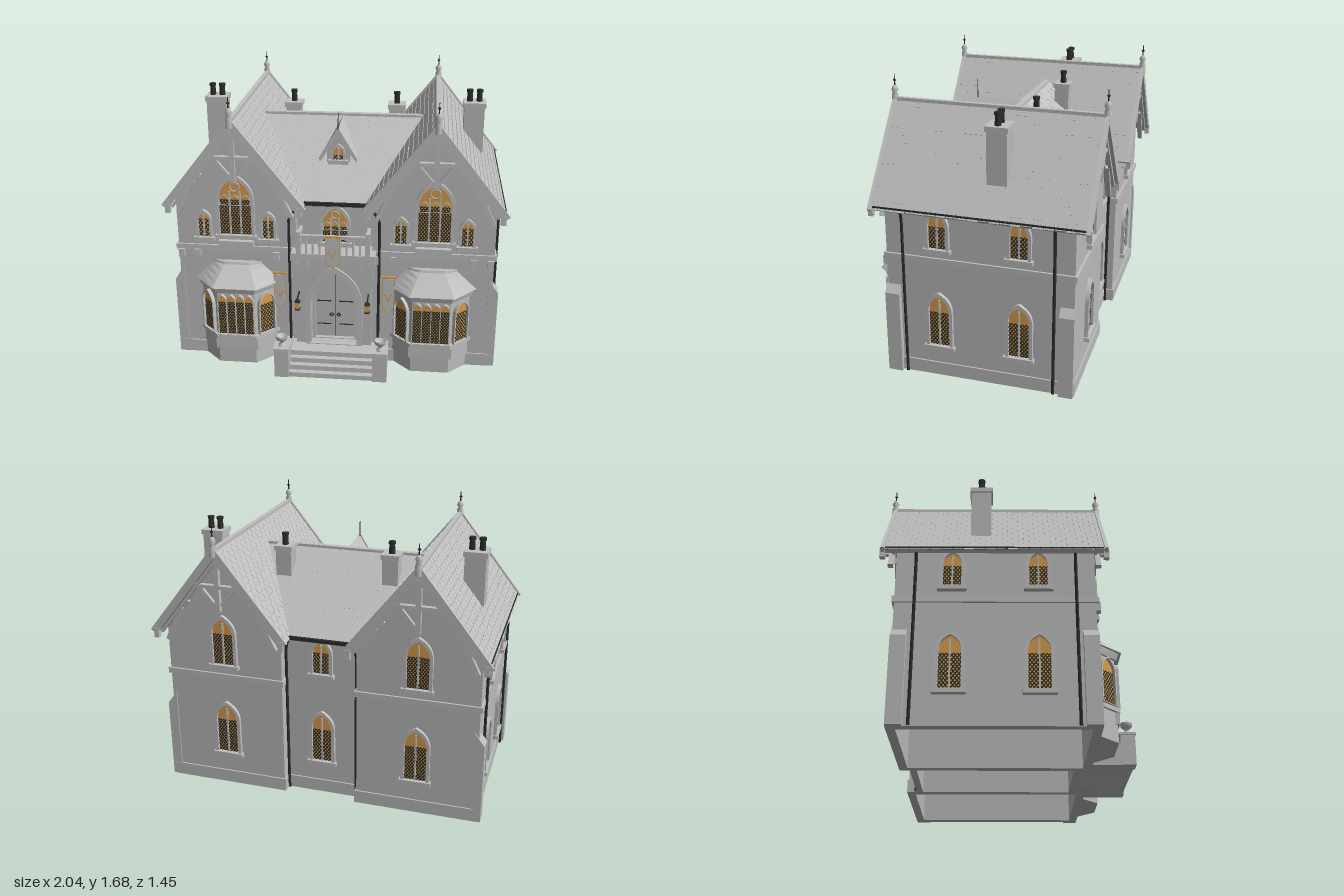
import * as THREE from 'three';
import { mergeGeometries } from 'three/addons/utils/BufferGeometryUtils.js';
import { ConvexGeometry } from 'three/addons/geometries/ConvexGeometry.js';

const mat = (name, color) => Object.assign(new THREE.MeshStandardMaterial({ color }), { name });
const stone = mat('stone', 0xbcbcbc), trim = mat('trim', 0xc0c0c0), slate = mat('slate', 0xc0c0c0);
const iron = mat('iron', 0x2b2e2b), glass = mat('amber glass', 0xd89c4c);

let seed = 7;
const rnd = () => (seed = (seed * 16807) % 2147483647) / 2147483647;

function add(parent, name, geo, m, x = 0, y = 0, z = 0) {
  const mesh = new THREE.Mesh(geo, m);
  mesh.name = name;
  mesh.position.set(x, y, z);
  parent.add(mesh);
  return mesh;
}
// box given by its extents
const block = (p, name, m, x0, x1, y0, y1, z0, z1) =>
  add(p, name, new THREE.BoxGeometry(x1 - x0, y1 - y0, z1 - z0), m, (x0 + x1) / 2, (y0 + y1) / 2, (z0 + z1) / 2);
// beam between two points in an upright plane; no depth gives a flat strip
function beam(x0, y0, x1, y1, w, d, z = 0) {
  const l = Math.hypot(x1 - x0, y1 - y0);
  const g = d ? new THREE.BoxGeometry(l, w, d) : new THREE.PlaneGeometry(l, w);
  return g.rotateZ(Math.atan2(y1 - y0, x1 - x0)).translate((x0 + x1) / 2, (y0 + y1) / 2, z);
}
const extrude = (s, depth) => new THREE.ExtrudeGeometry(s, { depth, bevelEnabled: false, curveSegments: 8 });
const poly = pts => new THREE.Shape(pts.map(p => new THREE.Vector2(...p)));
const spring = (w, h) => h - 0.75 * w;
function arch(w, h, y = 0, T = THREE.Shape) {
  const s = y + spring(w, h), c = s + 0.5 * w, r = w / 2;
  const p = new T();
  p.moveTo(-r, y);
  p.lineTo(r, y);
  p.lineTo(r, s);
  p.quadraticCurveTo(r, c, 0, y + h);
  p.quadraticCurveTo(-r, c, -r, s);
  p.lineTo(-r, y);
  return p;
}
function archRing(w, h, t, depth) {
  const s = arch(w + 2 * t, h + t * 1.6, -t * 0.4);
  s.holes.push(arch(w, h, 0, THREE.Path));
  return extrude(s, depth);
}
// hollow rectangular course of masonry centred on x, z
function ring(p, name, m, w, d, t, y0, y1, x, z) {
  const r = (a, b) => [[-a, -b], [a, -b], [a, b], [-a, b]];
  const s = poly(r(w / 2, d / 2));
  s.holes.push(poly(r(w / 2 - t, d / 2 - t)));
  return add(p, name, extrude(s, y1 - y0).rotateX(-Math.PI / 2), m, x, y0, z);
}

// leaded arched window facing +z, sill at the origin
function windowUnit(p, w, h, lights, x, y, z, turn = 0, frame = 0.02) {
  const g = new THREE.Group();
  g.name = 'window';
  g.position.set(x, y, z);
  g.rotation.y = turn;
  p.add(g);
  add(g, 'windowFrame', archRing(w, h, frame, 0.022), trim);
  add(g, 'windowGlass', new THREE.ShapeGeometry(arch(w, h), 8), glass, 0, 0, 0.004);
  const nx = Math.max(2, Math.round(w / 0.02)), c = w / nx, ny = Math.floor((spring(w, h) + 0.01) / (c * 1.3));
  const bars = [];
  for (let i = 0; i < nx; i++) for (let j = 0; j < ny; j++) {
    const a = -w / 2 + i * c, b = j * c * 1.3;
    bars.push(beam(a, b, a + c, b + c * 1.3, 0.0065, 0), beam(a, b + c * 1.3, a + c, b, 0.0065, 0));
  }
  add(g, 'windowLeading', mergeGeometries(bars), iron, 0, 0, 0.007);
  for (let i = 1; i < lights; i++) {
    const mx = -w / 2 + (w * i) / lights;
    block(g, 'mullion', trim, mx - 0.005, mx + 0.005, 0, spring(w, h) + (lights === 2 ? 0.55 * w : 0.3 * w), 0, 0.014);
  }
  if (lights > 2) {
    add(g, 'tracery', new THREE.TorusGeometry(w * 0.15, 0.005, 6, 16), trim, 0, h - w * 0.3, 0.01);
    for (let i = 0; i < lights; i++)
      add(g, 'lightHead', archRing(w / lights - 0.012, w * 0.32, 0.005, 0.006), trim, -w / 2 + w * (i + 0.5) / lights, spring(w, h) - 0.03, 0.006);
  }
  if (frame > 0.01) block(g, 'sill', trim, -w / 2 - 0.03, w / 2 + 0.03, -0.025, 0, 0, 0.032);
  return g;
}

// slated slope falling towards +x from a ridge along z; half(u) gives half the length at u down the slope
function slope(p, run, rise, half, courses, slabHalf) {
  const len = Math.hypot(run, rise), tilt = -Math.atan2(rise, run), step = len / courses, parts = [];
  for (let i = 0; i < courses; i++) {
    const h = half((i + 0.5) * step / len);
    for (let v = -h - (i % 2) * 0.03; v < h; v += 0.06) {
      const a = Math.max(v, -h), b = Math.min(v + 0.057, h);
      if (b - a < 0.008) continue;
      parts.push(new THREE.BoxGeometry(step * 1.05, 0.007, b - a).rotateZ(-0.08)
        .translate((i + 0.5) * step + (rnd() - 0.5) * 0.006, 0.003, (a + b) / 2));
    }
  }
  const g = add(p, 'slates', mergeGeometries(parts), slate);
  g.rotation.z = tilt;
  if (slabHalf) block(g, 'roofDeck', slate, 0, len, -0.022, 0, -slabHalf, slabHalf);
}
function roof(p, name, x, y, z, turn, ...args) {
  const g = new THREE.Group();
  g.name = name;
  g.position.set(x, y, z);
  g.rotation.y = turn;
  p.add(g);
  for (const r of [0, Math.PI]) {
    const side = new THREE.Group();
    side.rotation.y = r;
    g.add(side);
    slope(side, ...args);
  }
  return g;
}

// gable timbers, bargeboards and finial; x is the gable centre
function gable(p, x, z, turn) {
  const g = new THREE.Group();
  g.name = 'gable';
  g.position.set(x, 0, z);
  g.rotation.y = turn;
  p.add(g);
  const parts = [beam(0, 1.16, 0, 1.52, 0.03, 0.03, -0.03), beam(-0.17, 1.31, 0.17, 1.31, 0.022, 0.03, -0.03)];
  for (const s of [-1, 1]) {
    parts.push(beam(0, 1.525, s * 0.41, 1.005, 0.045, 0.02), beam(0, 1.47, s * 0.37, 1.0, 0.018, 0.02, -0.02),
      beam(s * 0.34, 0.95, s * 0.24, 1.16, 0.024, 0.03, -0.04), beam(s * 0.35, 1.03, s * 0.2, 1.03 + 0.17, 0.02, 0.02, -0.055),
      beam(s * 0.02, 1.2, s * 0.12, 1.32, 0.016, 0.02, -0.03), beam(s * 0.39, 0.97, s * 0.39, 1.03, 0.03, 0.03));
  }
  add(g, 'bargeboards', mergeGeometries(parts), trim);
  add(g, 'finial', new THREE.LatheGeometry([[0.022, 1.5], [0.02, 1.56], [0.012, 1.57], [0.022, 1.59], [0.012, 1.61], [0, 1.62]]
    .map(a => new THREE.Vector2(...a)), 8), trim);
  add(g, 'finialSpike', new THREE.CylinderGeometry(0.002, 0.005, 0.07, 6), iron, 0, 1.645, 0);
  add(g, 'finialKnob', new THREE.OctahedronGeometry(0.011), iron, 0, 1.645, 0);
}

function pipe(p, pts) {
  const path = new THREE.CurvePath();
  const v = pts.map(a => new THREE.Vector3(...a));
  for (let i = 1; i < v.length; i++) path.add(new THREE.LineCurve3(v[i - 1], v[i]));
  add(p, 'drainpipe', new THREE.TubeGeometry(path, 24, 0.009, 6), iron);
}
function chimney(p, x, z, w, d, y0, y1, pots) {
  block(p, 'chimney', stone, x - w / 2, x + w / 2, y0, y1 - 0.03, z - d / 2, z + d / 2);
  block(p, 'chimneyCap', trim, x - w / 2 - 0.008, x + w / 2 + 0.008, y1 - 0.03, y1, z - d / 2 - 0.008, z + d / 2 + 0.008);
  for (const o of pots) {
    add(p, 'chimneyPot', new THREE.CylinderGeometry(0.016, 0.019, 0.07, 10), iron, x + o, y1 + 0.035, z);
    add(p, 'potRim', new THREE.CylinderGeometry(0.021, 0.021, 0.016, 10), iron, x + o, y1 + 0.066, z);
  }
}

// canted bay window; local z = 0 is the wall
function bay(p, x, z) {
  const g = new THREE.Group();
  g.name = 'bayWindow';
  g.position.set(x, 0, z);
  p.add(g);
  const plan = e => [[-0.23 - e, 0], [-0.115 - e * 0.5, 0.115 + e], [0.115 + e * 0.5, 0.115 + e], [0.23 + e, 0]];
  const tier = (name, m, e0, y0, e1, y1) => add(g, name, new ConvexGeometry([
    ...plan(e0).map(a => new THREE.Vector3(a[0], y0, a[1])), ...plan(e1).map(a => new THREE.Vector3(a[0], y1, a[1]))]), m);
  tier('bayBase', stone, 0, 0, 0, 0.17);
  tier('baySill', trim, 0.015, 0.17, 0.015, 0.195);
  tier('bayBody', stone, -0.003, 0.195, -0.003, 0.49);
  tier('bayCornice', trim, 0.01, 0.48, 0.022, 0.525);
  for (let i = 0; i < 4; i++) tier('bayRoof', slate, 0.036 - i * 0.03, 0.52 + i * 0.028, 0.002 - i * 0.03, 0.551 + i * 0.028);
  tier('bayRoofCap', trim, -0.08, 0.63, -0.085, 0.645);
  for (let i = 0; i < 4; i++) windowUnit(g, 0.05, 0.265, 1, -0.0825 + i * 0.055, 0.2, 0.112, 0, 0.004);
  for (const s of [-1, 1]) windowUnit(g, 0.105, 0.265, 1, s * 0.1715, 0.2, 0.0565, s * Math.PI / 4, 0.008);
  block(g, 'bayBracket', trim, -0.13, 0.13, 0.1, 0.17, 0.1, 0.125);
}

function banner(p, x, y, z, w, h) {
  const shape = k => poly([[-w / 2 + k, -k], [-w / 2 + k, -h * 0.82 + k], [0, -h + k * 1.5], [w / 2 - k, -h * 0.82 + k], [w / 2 - k, -k]].reverse());
  add(p, 'bannerBorder', extrude(shape(0), 0.005), glass, x, y, z);
  add(p, 'bannerCloth', extrude(shape(0.004), 0.004), trim, x, y, z + 0.003);
  const c = -h * 0.55, v = [];
  for (const s of [-1, 1]) v.push(beam(0, c - 0.025, s * 0.012, c + 0.01, 0.006, 0.003), beam(s * 0.012, c + 0.01, s * 0.024, c + 0.025, 0.006, 0.003));
  add(p, 'bannerChevron', mergeGeometries(v), glass, x, y, z + 0.008);
  block(p, 'bannerPole', glass, x - w / 2 - 0.006, x + w / 2 + 0.006, y, y + 0.008, z - 0.006, z + 0.006);
}

export function createModel() {
  const house = new THREE.Group();
  house.name = 'house';

  // gabled wings
  for (const s of [-1, 1]) {
    const x = s * 0.59, zc = -0.085;
    const wing = new THREE.Group();
    wing.name = 'wing';
    house.add(wing);
    ring(wing, 'wingWalls', stone, 0.72, 1.09, 0.04, 0, 1.04, x, zc);
    ring(wing, 'plinth', stone, 0.74, 1.11, 0.02, 0, 0.08, x, zc);
    ring(wing, 'stringCourse', trim, 0.745, 1.115, 0.02, 0.71, 0.745, x, zc);
    for (const z of [0.42, -0.63])
      add(wing, 'gableWall', extrude(poly([[-0.36, 1.04], [0.36, 1.04], [0, 1.5]]), 0.04), stone, x, 0, z);
    roof(wing, 'wingRoof', x, 1.535, -0.09, 0, 0.41, 0.52, () => 0.61, 15, 0.61);
    block(wing, 'ridgeTiles', trim, x - 0.014, x + 0.014, 1.525, 1.548, -0.7, 0.52);
    gable(wing, x, 0.525, 0);
    gable(wing, x, -0.705, Math.PI);
    // front windows
    windowUnit(wing, 0.19, 0.36, 3, x, 0.82, 0.46);
    block(wing, 'windowLedge', trim, x - 0.105, x + 0.105, 0.75, 0.785, 0.46, 0.5);
    for (const o of [-0.195, 0.195]) windowUnit(wing, 0.065, 0.155, 2, x + o, 0.8, 0.46, 0, 0.016);
    for (const o of [-0.34, -0.24, 0.24, 0.34]) block(wing, 'corbel', trim, x + o - 0.018, x + o + 0.018, 0.665, 0.715, 0.46, 0.485);
    // side and back windows
    for (const z of [0.15, -0.32]) {
      windowUnit(wing, 0.12, 0.31, 2, s * 0.95, 0.2, z, s * Math.PI / 2);
      windowUnit(wing, 0.1, 0.21, 2, s * 0.95, 0.805, z, s * Math.PI / 2);
    }
    windowUnit(wing, 0.13, 0.32, 2, x, 0.22, -0.63, Math.PI);
    windowUnit(wing, 0.13, 0.29, 2, x, 0.81, -0.63, Math.PI);
    // corner buttresses
    for (const z of [0.425, -0.595]) {
      const b = add(wing, 'buttress', extrude(poly([[-0.02, 0], [0.04, 0], [0.04, 0.5], [-0.02, 0.58]]), 0.085), stone, s * 0.945, 0, z + (s < 0 ? 0.0425 : -0.0425));
      b.rotation.y = s < 0 ? Math.PI : 0;
    }
    bay(wing, x, 0.46);
    // gutters and pipes
    block(wing, 'gutter', iron, s * 0.992 - 0.008, s * 0.992 + 0.008, 1.015, 1.033, -0.69, 0.51);
    for (const z of [0.355, -0.52]) pipe(wing, [[s * 0.985, 1.02, z], [s * 0.966, 0.97, z], [s * 0.966, 0.0, z]]);
    pipe(wing, [[s * 0.2, 1.02, 0.43], [s * 0.27, 0.95, 0.478], [s * 0.27, 0, 0.478]]);
    pipe(wing, [[s * 0.19, 1.01, -0.61], [s * 0.215, 0.95, -0.585], [s * 0.215, 0, -0.585]]);
    chimney(wing, s * 0.815, -0.17, 0.125, 0.115, 1.17, 1.51, [-0.03, 0.03]);
    chimney(house, s * 0.33, -0.24, 0.095, 0.09, 1.2, 1.465, [0]);
    banner(wing, s * 0.33, 0.58, 0.485, 0.075, 0.24);
  }

  // central range
  ring(house, 'centreWalls', stone, 0.5, 0.97, 0.03, 0, 1.02, 0, -0.085);
  ring(house, 'centrePlinth', stone, 0.5, 0.99, 0.02, 0, 0.08, 0, -0.085);
  const valley = u => 0.59 - (0.11 + 0.41 * u) / 1.268 + 0.02;
  roof(house, 'centreRoof', 0, 1.425, -0.09, Math.PI / 2, 0.52, 0.41, valley, 14, 0.18);
  // decking that follows the valleys
  for (const s of [-1, 1]) {
    const deck = add(house, 'valleyDeck', extrude(poly([[-0.5, 0], [0.5, 0], [0.19, -0.66], [-0.19, -0.66]].reverse()), 0.006), slate, 0, 1.421, -0.09);
    deck.material = slate;
    deck.rotation.order = 'YXZ';
    deck.rotation.set(-Math.PI / 2 + Math.atan2(0.41, 0.52), s < 0 ? Math.PI : 0, 0);
  }
  block(house, 'centreRidge', trim, -0.49, 0.49, 1.41, 1.435, -0.108, -0.072);
  for (const z of [0.43, -0.61]) block(house, 'gutter', iron, -0.19, 0.19, 1.01, 1.03, z - 0.009, z + 0.009);
  windowUnit(house, 0.15, 0.22, 3, 0, 0.77, 0.4);
  windowUnit(house, 0.12, 0.31, 2, 0, 0.22, -0.57, Math.PI);
  windowUnit(house, 0.1, 0.2, 2, 0, 0.8, -0.57, Math.PI);

  // roof dormer
  const dormer = new THREE.Group();
  dormer.name = 'dormer';
  house.add(dormer);
  add(dormer, 'dormerWall', extrude(poly([[-0.07, 1.16], [0.07, 1.16], [0.07, 1.29], [0, 1.4], [-0.07, 1.29]]), 0.2), stone);
  for (const s of [-1, 1]) {
    const pts = [[0, 1.42, 0.235], [s * 0.112, 1.235, 0.235], [s * 0.112, 1.235, 0.13], [0, 1.42, -0.08]];
    add(dormer, 'dormerRoof', new ConvexGeometry([...pts, ...pts.map(a => [a[0], a[1] - 0.02, a[2]])].map(a => new THREE.Vector3(...a))), slate);
    add(dormer, 'dormerBargeboard', beam(0, 1.415, s * 0.11, 1.232, 0.02, 0.012), trim, 0, 0, 0.236);
  }
  windowUnit(dormer, 0.06, 0.085, 2, 0, 1.225, 0.2, 0, 0.012);
  add(dormer, 'dormerSpike', new THREE.CylinderGeometry(0.001, 0.004, 0.12, 6), iron, 0, 1.475, 0.23);

  // porch, arch and doors
  const front = poly([[-0.23, 0], [0.23, 0], [0.23, 0.7], [-0.23, 0.7]]);
  front.holes.push(arch(0.28, 0.48, 0.12, THREE.Path));
  add(house, 'porch', extrude(front, 0.1), stone, 0, 0, 0.4);
  add(house, 'porchArch', archRing(0.29, 0.49, 0.03, 0.02), trim, 0, 0.125, 0.495);
  add(house, 'innerArch', archRing(0.24, 0.44, 0.02, 0.03), trim, 0, 0.125, 0.41);
  add(house, 'doors', extrude(arch(0.24, 0.44), 0.01), stone, 0, 0.125, 0.405);
  block(house, 'doorGap', iron, -0.002, 0.002, 0.13, 0.56, 0.415, 0.418);
  for (const s of [-1, 1]) {
    for (const y of [0.21, 0.37]) block(house, 'doorHinge', iron, s * 0.07 - 0.045, s * 0.07 + 0.045, y, y + 0.005, 0.415, 0.42);
    add(house, 'doorHandle', new THREE.TorusGeometry(0.01, 0.004, 6, 10), iron, s * 0.022, 0.28, 0.42);
    // lanterns
    block(house, 'lanternBracket', iron, s * 0.21 - 0.004, s * 0.21 + 0.004, 0.465, 0.473, 0.5, 0.59);
    block(house, 'lanternGlass', glass, s * 0.21 - 0.012, s * 0.21 + 0.012, 0.4, 0.445, 0.573, 0.597);
    add(house, 'lanternTop', new THREE.ConeGeometry(0.024, 0.026, 4).rotateY(Math.PI / 4), iron, s * 0.21, 0.457, 0.585);
    block(house, 'lanternBase', iron, s * 0.21 - 0.015, s * 0.21 + 0.015, 0.393, 0.402, 0.57, 0.6);
    // stair walls and urns
    block(house, 'stairWall', stone, s * 0.295 - 0.04, s * 0.295 + 0.04, 0, 0.135, 0.46, 0.64);
    block(house, 'pedestal', stone, s * 0.295 - 0.043, s * 0.295 + 0.043, 0, 0.18, 0.635, 0.72);
    block(house, 'pedestalCap', trim, s * 0.295 - 0.048, s * 0.295 + 0.048, 0.18, 0.195, 0.63, 0.725);
    add(house, 'urn', new THREE.LatheGeometry([[0.022, 0], [0.022, 0.008], [0.01, 0.016], [0.012, 0.03], [0.032, 0.045], [0.037, 0.068], [0.03, 0.068], [0.02, 0.05], [0, 0.045]]
      .map(a => new THREE.Vector2(...a)), 14), trim, s * 0.295, 0.195, 0.678);
  }
  for (let i = 0; i < 4; i++) block(house, 'step', trim, -0.255, 0.255, i * 0.03, i * 0.03 + 0.03, 0.4, 0.71 - i * 0.035);

  // balcony
  block(house, 'balconyFloor', trim, -0.25, 0.25, 0.7, 0.745, 0.4, 0.55);
  for (const x of [-0.23, -0.165, 0.165, 0.23]) block(house, 'balconyCorbel', trim, x - 0.018, x + 0.018, 0.655, 0.7, 0.46, 0.53);
  block(house, 'balconyRail', trim, -0.215, 0.215, 0.845, 0.865, 0.528, 0.548);
  for (const s of [-1, 1]) {
    block(house, 'balconySideRail', trim, s * 0.205 - 0.01, s * 0.205 + 0.01, 0.845, 0.865, 0.4, 0.54);
    block(house, 'balconyPost', trim, s * 0.205 - 0.014, s * 0.205 + 0.014, 0.745, 0.885, 0.522, 0.552);
    for (const z of [0.43, 0.465, 0.5]) block(house, 'baluster', trim, s * 0.205 - 0.006, s * 0.205 + 0.006, 0.745, 0.85, z - 0.006, z + 0.006);
  }
  for (let i = -4; i <= 4; i++) block(house, 'baluster', trim, i * 0.04 - 0.006, i * 0.04 + 0.006, 0.745, 0.85, 0.532, 0.544);
  banner(house, 0, 0.86, 0.553, 0.09, 0.2);
  return house;
}
